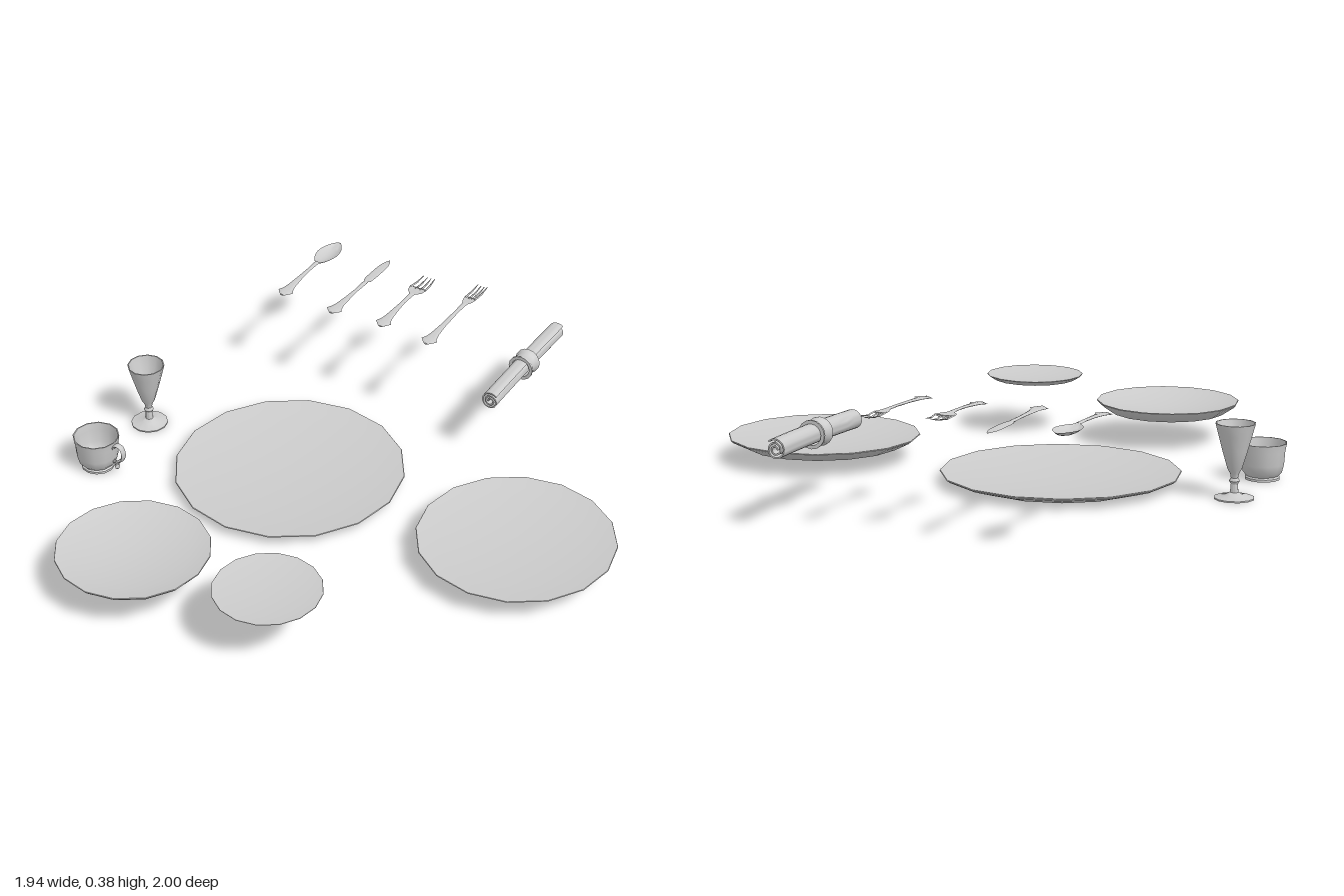
import * as THREE from 'three';
import { toCreasedNormals, mergeGeometries } from 'three/addons/utils/BufferGeometryUtils.js';

const material = new THREE.MeshStandardMaterial({ color: 0xcccccc, side: THREE.DoubleSide });

function add(parent, name, geometry, x = 0, y = 0, z = 0, crease = 0.7) {
  const mesh = new THREE.Mesh(toCreasedNormals(geometry, crease), material);
  mesh.name = name;
  mesh.position.set(x, y, z);
  parent.add(mesh);
  return mesh;
}

const lathe = (points, sides) =>
  new THREE.LatheGeometry(points.map(([r, y]) => new THREE.Vector2(r, y)), sides);

// Plate: flat base, sloping underside, thin lip, gently dished inside
function plate(r, base, h, floor) {
  const lip = h * 0.72;
  const profile = [[0, 0], [base, 0], [r * 0.97, lip], [r, h * 0.93], [r * 0.995, h]];
  for (let i = 1; i <= 8; i++) {
    const t = 0.98 * (1 - i / 8);
    profile.push([r * t, floor + (h - floor) * t * t * 0.97]);
  }
  return lathe(profile, 16);
}

// Closed strip lofted along z; stations are [z, halfWidth, y, thickness, dip, x]
function loft(stations, n = 6) {
  const pos = [], idx = [], ring = 2 * n;
  for (const [z, w, y, t, dip = 0, x = 0] of stations) {
    for (let j = 0; j < ring; j++) {
      const u = j <= n ? -1 + (2 * j) / n : 3 - (2 * j) / n;
      const crown = 1 - u * u;
      pos.push(x + u * w, y - dip * crown + (j <= n ? 0.5 : -0.5) * t * crown, z);
    }
  }
  const last = (stations.length - 1) * ring;
  for (let i = 0; i < last; i += ring) {
    for (let j = 0; j < ring; j++) {
      const k = (j + 1) % ring;
      idx.push(i + j, i + k, i + ring + j, i + k, i + ring + k, i + ring + j);
    }
  }
  for (let j = 1; j < ring - 1; j++) idx.push(0, j + 1, j, last, last + j, last + j + 1);
  const g = new THREE.BufferGeometry();
  g.setAttribute('position', new THREE.Float32BufferAttribute(pos, 3));
  g.setIndex(idx);
  return g;
}

// Shared handle with a flared, pointed end; zEnd is the rear tip, zNeck where the head starts
function handle(zEnd, zNeck, arch) {
  const rise = (z) => 0.361 + arch * Math.sin(((zEnd - z) / (zEnd - zNeck)) * Math.PI * 0.5);
  return [
    [zEnd, 0.008, 0.006], [zEnd - 0.012, 0.02, 0.007], [zEnd - 0.025, 0.031, 0.008],
    [zEnd - 0.04, 0.022, 0.008], [zEnd - 0.065, 0.016, 0.008], [zEnd - 0.12, 0.011, 0.008],
    [zNeck + 0.06, 0.008, 0.008], [zNeck, 0.01, 0.008],
  ].map(([z, w, t]) => [z, w, rise(z), t]);
}

function spoon() {
  const stations = handle(-0.545, -0.79, 0.013);
  const steps = 10;
  for (let i = 0; i <= steps; i++) {
    const t = i / steps;
    const w = 0.042 * Math.pow(Math.sin(Math.PI * (0.1 + 0.88 * t)), 0.7);
    stations.push([-0.8 - 0.15 * t, w, 0.374 + 0.004 * t, 0.004, 0.4 * w]);
  }
  return loft(stations);
}

function knife() {
  return loft([
    ...handle(-0.535, -0.775, 0),
    [-0.785, 0.007, 0.361, 0.007], [-0.795, 0.016, 0.361, 0.005], [-0.83, 0.018, 0.361, 0.004],
    [-0.89, 0.018, 0.361, 0.004], [-0.925, 0.015, 0.361, 0.004], [-0.948, 0.008, 0.361, 0.003],
    [-0.96, 0.002, 0.361, 0.002],
  ]);
}

function fork({ end, neck, shoulder, tip, half, tipHalf, tines }) {
  const y = 0.374, mid = (neck + shoulder) / 2;
  const parts = [loft([
    ...handle(end, neck, 0.013),
    [neck - 0.008, 0.013, y, 0.007], [mid, half * 0.8, y - 0.001, 0.006, 0.004],
    [shoulder, half, y, 0.005, 0.006], [shoulder - 0.006, half, y, 0.005, 0.006],
  ])];
  // Tines fan between shoulder and tip
  for (let i = 0; i < tines; i++) {
    const s = -1 + (2 * i) / (tines - 1), w = 0.0045;
    const drop = 0.004 * (1 - s * s);
    parts.push(loft([
      [shoulder, w, y - drop, 0.005, 0, s * (half - w)],
      [(shoulder + tip) / 2, w * 0.9, y - drop - 0.003, 0.005, 0, s * (half + tipHalf - 2 * w) / 2],
      [tip, 0.0015, y + 0.003 - drop, 0.002, 0, s * (tipHalf - w)],
    ], 2));
  }
  return mergeGeometries(parts);
}

// Spiral cross-section swept along z, drooping slightly at the front end
function napkinRoll(length) {
  const turns = 2.4, n = 48, outer = [], inner = [];
  for (let i = 0; i <= n; i++) {
    const t = i / n, a = t * turns * Math.PI * 2 + 0.8, r = 0.036 - 0.027 * t;
    outer.push(new THREE.Vector2(r * Math.cos(a), r * Math.sin(a)));
    inner.unshift(new THREE.Vector2((r - 0.005) * Math.cos(a), (r - 0.005) * Math.sin(a)));
  }
  const g = new THREE.ExtrudeGeometry(new THREE.Shape([...outer, ...inner]),
    { depth: length, steps: 10, bevelEnabled: false });
  g.translate(0, 0, -length / 2);
  const p = g.attributes.position;
  for (let i = 0; i < p.count; i++) {
    const t = p.getZ(i) / (length / 2);
    p.setY(i, p.getY(i) - 0.004 * t * t - 0.003 * t);
  }
  return g;
}

export function createModel() {
  const model = new THREE.Group();
  model.name = 'tableSetting';

  // Plates and bowl
  add(model, 'dinnerPlate', plate(0.41, 0.31, 0.038, 0.01), -0.27, 0, -0.036);
  add(model, 'luncheonPlate', plate(0.34, 0.277, 0.037, 0.01), 0.63, 0.05, -0.036);
  add(model, 'soupBowl', plate(0.26, 0.208, 0.042, 0.008), -0.385, 0.106, 0.737);
  add(model, 'breadPlate', plate(0.18, 0.152, 0.019, 0.006), 0.143, 0.188, 0.738);

  // Goblet: foot, stem with a knop, tapered bowl
  add(model, 'goblet', lathe([
    [0, 0], [0.067, 0], [0.067, 0.005], [0.03, 0.012], [0.014, 0.022], [0.012, 0.05],
    [0.018, 0.06], [0.012, 0.07], [0.015, 0.085], [0.024, 0.1], [0.042, 0.16], [0.057, 0.215],
    [0.067, 0.253], [0.063, 0.253], [0.052, 0.21], [0.037, 0.16], [0.018, 0.105], [0, 0.098],
  ], 12), -0.881, 0, -0.037);

  // Cup
  const cup = new THREE.Group();
  cup.name = 'cup';
  cup.position.set(-0.886, 0, 0.27);
  model.add(cup);
  add(cup, 'cupBody', lathe([
    [0, 0], [0.06, 0], [0.06, 0.008], [0.055, 0.013], [0.068, 0.028], [0.075, 0.055],
    [0.078, 0.1], [0.083, 0.128], [0.079, 0.128], [0.073, 0.1], [0.069, 0.055],
    [0.058, 0.028], [0.048, 0.016], [0, 0.015],
  ], 12));
  const loop = new THREE.CatmullRomCurve3([
    [0.072, 0.1], [0.088, 0.117], [0.108, 0.114], [0.117, 0.09], [0.112, 0.065],
    [0.095, 0.05], [0.085, 0.035], [0.088, 0.022],
  ].map(([x, y]) => new THREE.Vector3(x, y, 0)));
  add(cup, 'cupHandle', new THREE.TubeGeometry(loop, 20, 0.0055, 8).scale(1, 1, 2.2));
  add(cup, 'handleFoot', new THREE.SphereGeometry(0.008, 8, 6), 0.086, 0.022, 0);
  add(cup, 'handleJoint', new THREE.CylinderGeometry(0.006, 0.006, 0.022, 8).rotateZ(Math.PI / 2), 0.083, 0.043, 0);

  // Cutlery
  add(model, 'spoon', spoon(), -0.622);
  add(model, 'knife', knife(), -0.405);
  add(model, 'saladFork', fork({
    end: -0.55, neck: -0.775, shoulder: -0.825, tip: -0.91, half: 0.035, tipHalf: 0.028, tines: 4,
  }), -0.206);
  add(model, 'dinnerFork', fork({
    end: -0.535, neck: -0.82, shoulder: -0.865, tip: -0.96, half: 0.024, tipHalf: 0.024, tines: 4,
  }), -0.008);

  // Rolled napkin with a waisted ring
  add(model, 'napkin', napkinRoll(0.52), 0.285, 0.258, -0.74, 0.9);
  const ring = lathe([
    [0.035, -0.03], [0.047, -0.03], [0.047, -0.023], [0.041, -0.012], [0.04, 0],
    [0.041, 0.012], [0.047, 0.023], [0.047, 0.03], [0.035, 0.03], [0.035, -0.03],
  ], 16).rotateX(Math.PI / 2);
  add(model, 'napkinRing', ring, 0.285, 0.258, -0.74);

  return model;
}
